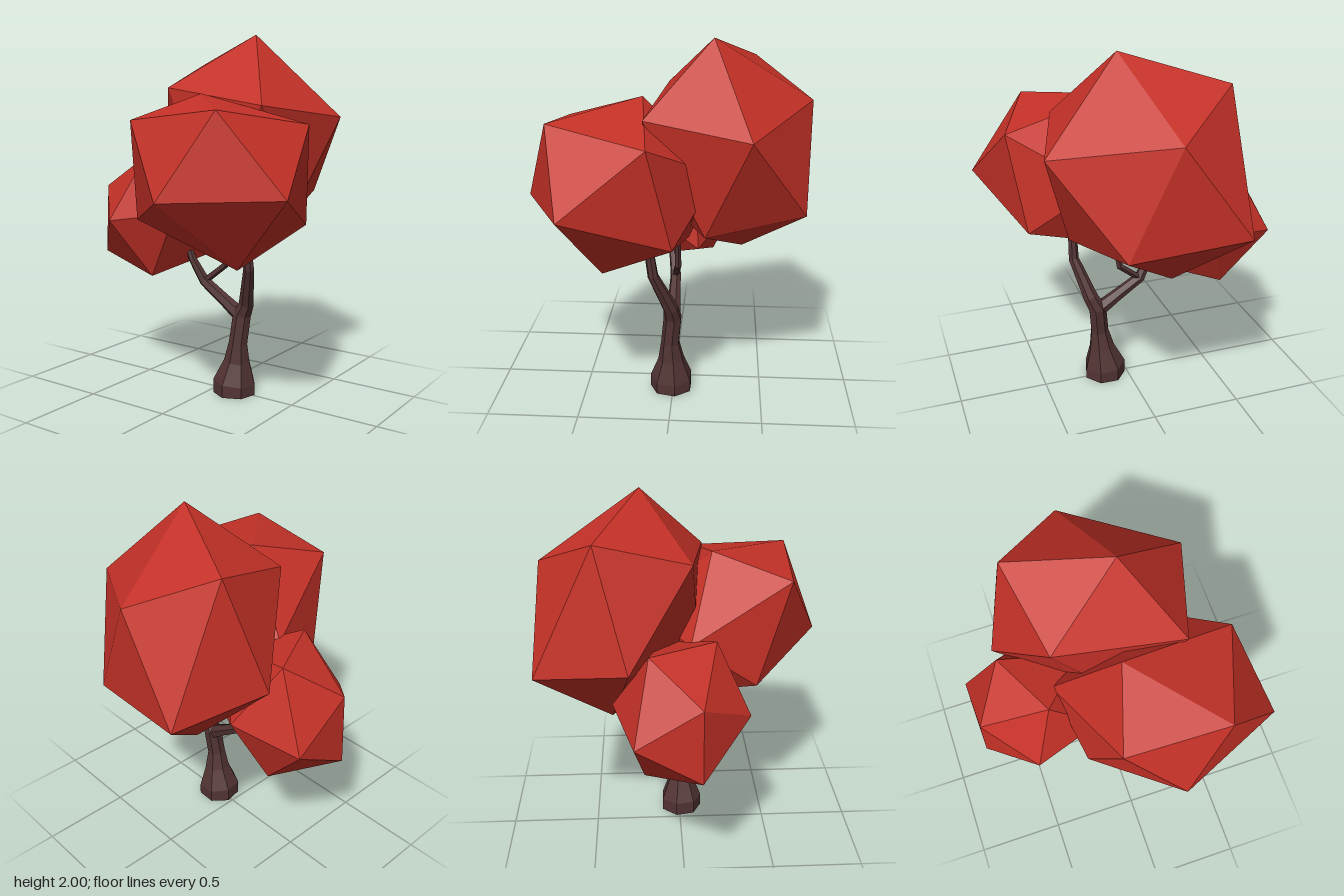
import * as THREE from 'three';
import { ConvexGeometry } from 'three/addons/geometries/ConvexGeometry.js';

const V = (p) => new THREE.Vector3(p[0], p[1], p[2]);

// Faceted limb: polygon rings across a path of [x, y, z, radius]
function limbGeometry(path, sides, turn) {
  const pts = path.map(V);
  const pos = [];
  const idx = [];
  const Z = new THREE.Vector3(0, 0, 1);
  pts.forEach((p, i) => {
    const t = pts[Math.min(i + 1, pts.length - 1)].clone().sub(pts[Math.max(i - 1, 0)]).normalize();
    if (i === 0 && p.y === 0) t.set(0, 1, 0);
    const u = t.clone().cross(Z).normalize();
    const w = t.clone().cross(u);
    for (let j = 0; j < sides; j++) {
      const a = turn + (j / sides) * Math.PI * 2;
      const q = p.clone()
        .addScaledVector(u, path[i][3] * Math.cos(a))
        .addScaledVector(w, path[i][3] * Math.sin(a));
      pos.push(q.x, q.y, q.z);
    }
  });
  for (let i = 0; i < pts.length - 1; i++) {
    for (let j = 0; j < sides; j++) {
      const a = i * sides + j;
      const b = i * sides + ((j + 1) % sides);
      idx.push(a, b, b + sides, a, b + sides, a + sides);
    }
  }
  // End caps
  const last = (pts.length - 1) * sides;
  for (let j = 1; j < sides - 1; j++) {
    idx.push(0, j + 1, j, last, last + j, last + j + 1);
  }
  const g = new THREE.BufferGeometry();
  g.setAttribute('position', new THREE.Float32BufferAttribute(pos, 3));
  g.setIndex(idx);
  const flat = g.toNonIndexed();
  flat.computeVertexNormals();
  return flat;
}

export function createModel() {
  const model = new THREE.Group();
  model.name = 'tree';

  const bark = new THREE.MeshStandardMaterial({ color: 0x523333, flatShading: true });
  bark.name = 'dark brown bark';
  const leaves = new THREE.MeshStandardMaterial({ color: 0xc43127, flatShading: true });
  leaves.name = 'red leaves';

  const add = (name, geometry, material) => {
    const mesh = new THREE.Mesh(geometry, material);
    mesh.name = name;
    model.add(mesh);
  };

  // Trunk with flared foot, running on into the main branch
  add('trunk', limbGeometry([
    [0.133, 0, 0.01, 0.122], [0.133, 0.07, 0.01, 0.122], [0.15, 0.19, 0.01, 0.075],
    [0.16, 0.3, 0.015, 0.053], [0.175, 0.46, 0, 0.052], [0.21, 0.53, 0.01, 0.043],
    [0.282, 0.75, 0.1, 0.03], [0.28, 0.92, 0.125, 0.026],
  ], 7, 0.2), bark);

  // Side branch and its twig
  add('sideBranch', limbGeometry([
    [0.18, 0.44, 0, 0.045], [0.06, 0.52, 0, 0.036], [-0.085, 0.615, 0, 0.031],
    [-0.155, 0.74, 0.02, 0.024], [-0.18, 0.8, 0.02, 0.02],
  ], 6, 0.3), bark);
  add('twig', limbGeometry([
    [-0.09, 0.61, 0, 0.02], [0.045, 0.72, -0.02, 0.02], [0.075, 0.9, -0.02, 0.016],
  ], 5, 0.3), bark);

  // Leaf clumps: irregular twenty-sided solids given by their corners
  const clumps = {
    backLeafClump: [
      [0.12, 2, -0.21], [-0.4, 1.85, -0.44], [-0.3, 1.71, 0.05], [0.38, 1.62, 0.14],
      [0.55, 1.55, -0.41], [-0.03, 1.66, -0.74], [-0.13, 0.79, -0.38], [0.38, 1.01, -0.18],
      [0.23, 1.09, -0.71], [-0.4, 1.15, -0.77], [-0.56, 1.23, -0.28], [0, 1.13, 0.1],
    ],
    frontLeafClump: [
      [0.02, 1.68, 0.17], [0.43, 1.61, 0.62], [-0.115, 1.55, 0.59], [0.635, 1.53, 0.1],
      [0.76, 1.2, 0.52], [0.18, 1.17, 0.77], [-0.24, 1.01, 0.4], [0.38, 0.8, 0.36],
      [0.56, 1, -0.02], [-0.03, 0.87, -0.08], [-0.32, 1.28, 0.04], [0.22, 1.31, -0.24],
    ],
    sideLeafClump: [
      [-0.55, 1.33, -0.18], [-0.37, 1.33, 0.17], [-0.74, 1.13, 0.08], [-0.76, 0.93, -0.26],
      [-0.76, 0.73, 0.08], [-0.5, 0.97, 0.34], [-0.34, 0.64, 0.16], [-0.5, 0.63, -0.21],
      [-0.38, 0.99, -0.37], [-0.07, 0.78, -0.13], [-0.12, 1.23, -0.11], [-0.12, 1.03, 0.23],
    ],
  };
  for (const [name, corners] of Object.entries(clumps)) {
    add(name, new ConvexGeometry(corners.map(V)), leaves);
  }

  return model;
}
